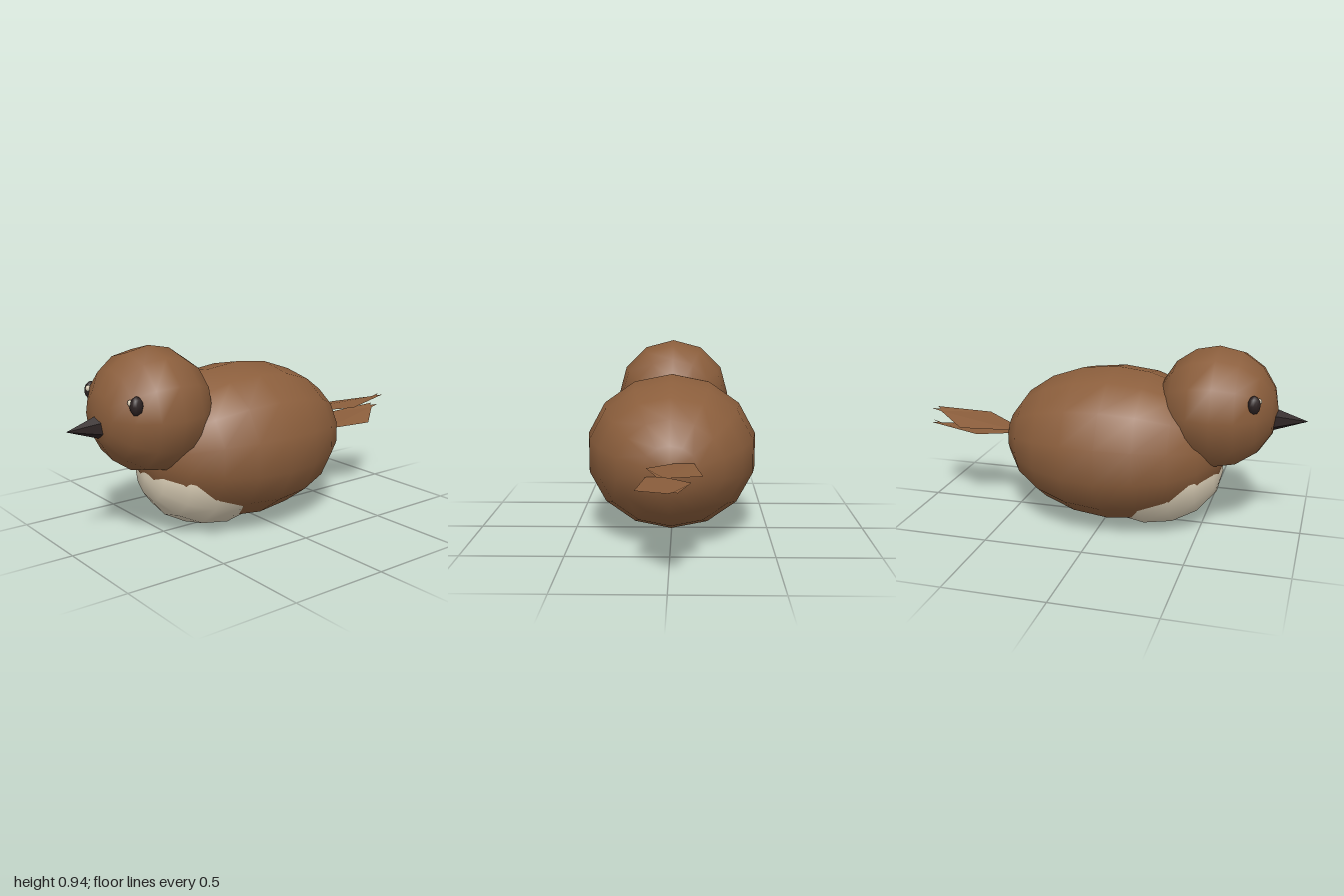
import * as THREE from 'three';

const mat = (name, color) => {
  const m = new THREE.MeshStandardMaterial({ color });
  m.name = name;
  return m;
};

export function createModel() {
  const bird = new THREE.Group();
  bird.name = 'bird';
  const brown = mat('brown plumage', 0x8b5e3c);
  const cream = mat('cream', 0xd8ccb4);
  const dark = mat('dark horn', 0x2c2222);
  const tailBrown = brown.clone();
  tailBrown.name = 'tail brown';
  tailBrown.side = THREE.DoubleSide;

  const add = (name, geometry, material) => {
    const mesh = new THREE.Mesh(geometry, material);
    mesh.name = name;
    bird.add(mesh);
    return mesh;
  };

  // Ellipsoid whose poles lie along z
  const ellipsoid = (name, radii, centre, around, along, material) => {
    const g = new THREE.SphereGeometry(1, around, along, Math.PI / 2);
    g.rotateX(Math.PI / 2).scale(...radii);
    const mesh = add(name, g, material);
    mesh.position.set(...centre);
    return mesh;
  };

  ellipsoid('body', [0.444, 0.394, 0.575], [0, 0.414, 0.04], 14, 10, brown);
  ellipsoid('belly', [0.337, 0.3, 0.37], [0, 0.303, 0.23], 12, 8, cream);
  ellipsoid('head', [0.31, 0.306, 0.297], [0, 0.639, 0.56], 12, 8, brown);

  // Six-sided beak, drooping slightly to its tip
  const beak = new THREE.ConeGeometry(0.061, 0.175, 6).toNonIndexed();
  beak.rotateX(Math.PI / 2);
  beak.computeVertexNormals();
  add('beak', beak, dark).position.set(0, 0.596, 0.9125);

  // Eyes with a small highlight
  for (const s of [1, -1]) {
    const side = s > 0 ? 'left' : 'right';
    ellipsoid(side + 'Eye', [0.03, 0.046, 0.031], [s * 0.209, 0.719, 0.757], 8, 6, dark);
    ellipsoid(side + 'EyeHighlight', [0.014, 0.016, 0.012], [s * 0.194, 0.734, 0.78], 8, 6, cream);
  }

  // Two crossing tail feathers, the second mirrored and lower
  const feather = (name, s, drop) => {
    const outline = [
      [-0.11, 0.455, -0.48], [-0.15, 0.455, -0.77], [0, 0.488, -0.95], [0, 0.5, -1],
      [0.02, 0.495, -0.96], [0.043, 0.5, -0.988], [0.1, 0.475, -0.7], [-0.03, 0.458, -0.51],
    ];
    const flat = outline.map(([x, , z]) => new THREE.Vector2(x, z));
    const faces = THREE.ShapeUtils.triangulateShape(flat, []);
    const points = outline.map(([x, y, z]) => [s * x, y - drop, z]);
    const order = s > 0 ? [0, 2, 1] : [0, 1, 2];
    const positions = [];
    for (const f of faces) {
      // Wind every triangle to face upward
      const [a, b, c] = f.map((i) => flat[i]);
      const ccw = (b.x - a.x) * (c.y - a.y) - (b.y - a.y) * (c.x - a.x) > 0;
      const o = ccw ? order : [order[0], order[2], order[1]];
      for (const k of o) positions.push(...points[f[k]]);
    }
    const g = new THREE.BufferGeometry();
    g.setAttribute('position', new THREE.Float32BufferAttribute(positions, 3));
    g.computeVertexNormals();
    add(name, g, tailBrown);
  };
  feather('upperTailFeather', 1, 0);
  feather('lowerTailFeather', -1, 0.065);

  return bird;
}
